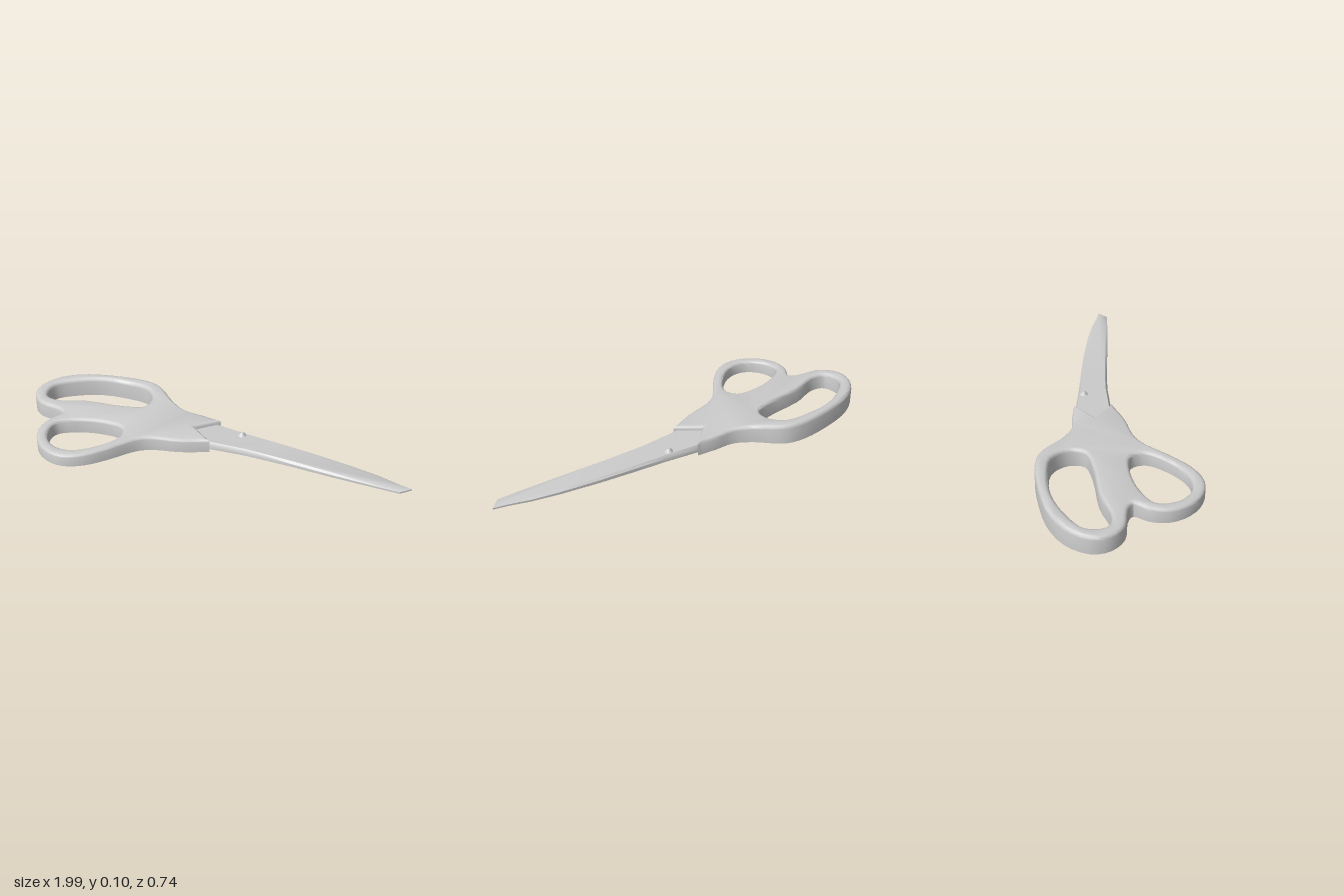
import * as THREE from 'three';
import { toCreasedNormals } from 'three/addons/utils/BufferGeometryUtils.js';

const material = new THREE.MeshStandardMaterial({ color: 0xcccccc, side: THREE.DoubleSide });
const { lerp, smoothstep, clamp } = THREE.MathUtils;

// Plan points are [x, z]; shapes are drawn with y = -z
const toPoints = (plan) => plan.map(([x, z]) => new THREE.Vector2(x, -z));

function smoothLoop(plan, count) {
  const curve = new THREE.CatmullRomCurve3(plan.map(([x, z]) => new THREE.Vector3(x, -z, 0)), true);
  return curve.getPoints(count).slice(0, -1).map((p) => new THREE.Vector2(p.x, p.y));
}

// Shell with a rounded top rim and an open underside; bottom and top are height rules of (x, z)
function shell(name, shape, bevel, bottom, top) {
  const wall = 1 - bevel.rise;
  const solid = new THREE.ExtrudeGeometry(shape, {
    depth: wall, bevelThickness: bevel.rise, bevelSize: bevel.inset,
    bevelOffset: -bevel.inset, bevelSegments: bevel.segments, curveSegments: 8,
  });
  solid.rotateX(-Math.PI / 2);
  const source = solid.getAttribute('position');
  const kept = [];
  for (let i = 0; i < source.count; i += 3) {
    const corners = [i, i + 1, i + 2];
    if (corners.some((k) => source.getY(k) < -1e-4)) continue;
    for (const k of corners) {
      const x = source.getX(k), z = source.getZ(k);
      kept.push(x, lerp(bottom(x, z), top(x, z), clamp(source.getY(k), 0, 1)), z);
    }
  }
  const geometry = new THREE.BufferGeometry();
  geometry.setAttribute('position', new THREE.Float32BufferAttribute(kept, 3));
  const mesh = new THREE.Mesh(toCreasedNormals(geometry, 0.7), material);
  mesh.name = name;
  return mesh;
}

function createHandles() {
  // Outer contour, from the back of the joint round both bows to its front
  const contour = new THREE.SplineCurve(toPoints([
    [0, -0.17], [-0.1, -0.185], [-0.2, -0.195], [-0.29, -0.25], [-0.385, -0.34], [-0.475, -0.373],
    [-0.61, -0.373], [-0.8, -0.34], [-0.93, -0.27], [-0.995, -0.17], [-0.985, -0.08],
    [-0.92, -0.015], [-0.82, 0.005], [-0.775, 0.035], [-0.815, 0.1], [-0.828, 0.19],
    [-0.79, 0.28], [-0.715, 0.345], [-0.62, 0.366], [-0.52, 0.325], [-0.43, 0.24],
    [-0.34, 0.135], [-0.26, 0.09], [-0.13, 0.065], [0.005, 0.015],
  ])).getPoints(72);
  // V-shaped mouth where the blades enter
  const shape = new THREE.Shape([...contour, ...toPoints([[-0.107, -0.075]])]);

  const fingerHole = [
    [-0.93, -0.18], [-0.85, -0.25], [-0.715, -0.308], [-0.58, -0.318], [-0.45, -0.3],
    [-0.395, -0.23], [-0.405, -0.15], [-0.5, -0.12], [-0.715, -0.105], [-0.85, -0.068], [-0.92, -0.09],
  ];
  const thumbHole = [
    [-0.44, 0.06], [-0.42, 0.13], [-0.5, 0.24], [-0.6, 0.302], [-0.69, 0.298],
    [-0.76, 0.23], [-0.77, 0.13], [-0.69, 0.075], [-0.555, 0.045],
  ];
  for (const hole of [fingerHole, thumbHole]) shape.holes.push(new THREE.Path(smoothLoop(hole, 36)));

  // Higher over the finger bow, lower over the thumb bow and the joint
  const top = (x, z) => lerp(0.082 - 0.06 * z, 0.07 - 0.03 * z, smoothstep(x, -0.45, 0));
  return shell('handles', shape, { rise: 0.2, inset: 0.018, segments: 3 }, () => 0, top);
}

function createBlades() {
  const shape = new THREE.Shape(toPoints([
    [-0.14, -0.15], [0, -0.165], [0.165, -0.137], [0.35, -0.112], [0.51, -0.088], [0.7, -0.052],
    [0.83, -0.02], [0.93, 0.015], [0.995, 0.032], [0.945, 0.076], [0.81, 0.066], [0.62, 0.05],
    [0.41, 0.027], [0.19, 0.01], [0, 0.012], [-0.14, 0.02],
  ]));
  return shell('blades', shape, { rise: 0.4, inset: 0.01, segments: 1 },
    (x) => lerp(0.015, 0.021, clamp(x, 0, 1)),
    (x) => lerp(0.051, 0.033, clamp(x, 0, 1)));
}

// Small raised stud near the back edge of the blades
function createStud() {
  const stud = new THREE.Mesh(new THREE.CylinderGeometry(0.007, 0.025, 0.02, 8), material);
  stud.name = 'stud';
  stud.position.set(0.13, 0.054, -0.112);
  return stud;
}

export function createModel() {
  const model = new THREE.Group();
  model.name = 'scissors';
  model.add(createHandles(), createBlades(), createStud());
  return model;
}
